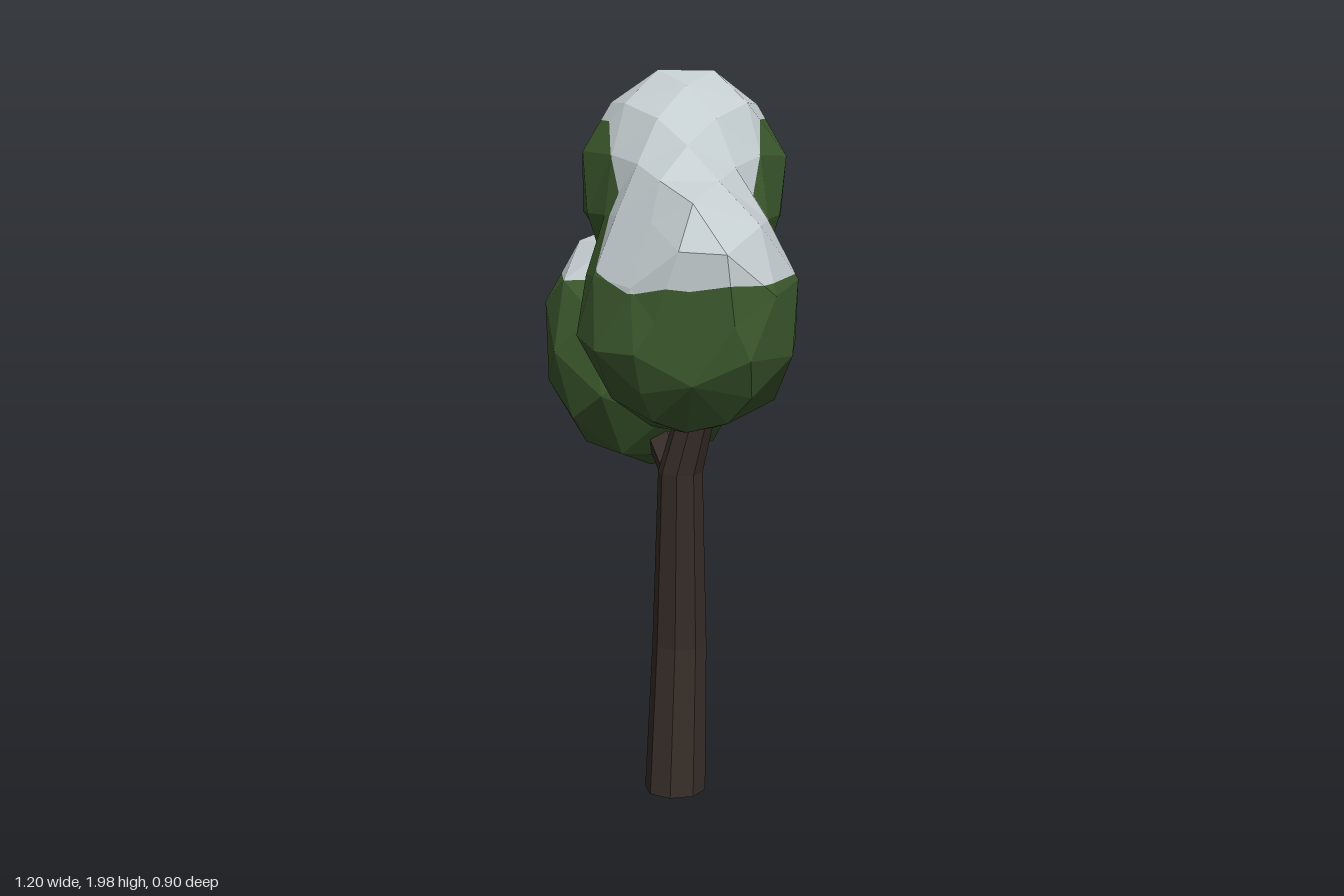
import * as THREE from 'three';

const mat = (color) => new THREE.MeshStandardMaterial({ color, flatShading: true, roughness: 1 });
const bark = mat(0x3a302b);
const leaf = mat(0x3d5a2e);
const snow = mat(0xc4cdd0);
const V = (x, y, z) => new THREE.Vector3(x, y, z);

// Moves every vertex of a geometry by a rule (vertex, index)
function deform(geo, rule) {
  const pos = geo.attributes.position;
  const v = V();
  for (let i = 0; i < pos.count; i++) {
    v.fromBufferAttribute(pos, i);
    rule(v, i);
    pos.setXYZ(i, v.x, v.y, v.z);
  }
  return geo;
}

// Slight hand-made unevenness, the same for coincident vertices
function roughen(v) {
  const { x, y, z } = v;
  v.x += 0.006 * Math.sin(17 * y + 11 * z);
  v.y += 0.006 * Math.sin(15 * x + 13 * z + 1);
  v.z += 0.006 * Math.sin(14 * x + 12 * y + 2);
}

// Adds the piece of a triangle where sign * level is positive
function clipTriangle(corners, levels, sign, out) {
  const poly = [];
  for (let i = 0; i < 3; i++) {
    const j = (i + 1) % 3;
    if (levels[i] * sign >= 0) poly.push(corners[i]);
    if (levels[i] * levels[j] < 0) {
      poly.push(corners[i].clone().lerp(corners[j], levels[i] / (levels[i] - levels[j])));
    }
  }
  for (let i = 2; i < poly.length; i++) {
    for (const p of [poly[0], poly[i - 1], poly[i]]) out.push(p.x, p.y, p.z);
  }
}

// Cuts a clump along the snow line: snow where snowLevel(point) is positive
function clump(name, geo, snowLevel) {
  const pos = (geo.index ? geo.toNonIndexed() : geo).attributes.position;
  const group = new THREE.Group();
  group.name = name;
  for (const [part, material, sign] of [['Leaves', leaf, -1], ['Snow', snow, 1]]) {
    const list = [];
    const tri = new THREE.Triangle();
    for (let i = 0; i < pos.count; i += 3) {
      tri.setFromAttributeAndIndices(pos, i, i + 1, i + 2);
      if (tri.getArea() < 1e-6) continue;
      const corners = [tri.a, tri.b, tri.c];
      clipTriangle(corners, corners.map(snowLevel), sign, list);
    }
    const g = new THREE.BufferGeometry();
    g.setAttribute('position', new THREE.Float32BufferAttribute(list, 3));
    g.computeVertexNormals();
    const mesh = new THREE.Mesh(g, material);
    mesh.name = name + part;
    group.add(mesh);
  }
  return group;
}

// Bent trunk: rings of [x, y, z, radius] from the ground up
function makeTrunk() {
  const rings = [
    [-0.155, 0, -0.12, 0.085],
    [-0.128, 0.43, -0.115, 0.075],
    [-0.055, 0.93, -0.065, 0.06],
    [0.052, 1.27, -0.09, 0.046],
    [0.058, 1.36, -0.1, 0.036],
    [0.046, 1.49, -0.11, 0.033],
  ];
  const n = rings.length - 1;
  const geo = deform(new THREE.CylinderGeometry(1, 1, 1, 8, n), (v) => {
    const [x, y, z, r] = rings[Math.round((v.y + 0.5) * n)];
    v.set(x + v.x * r, y, z + v.z * r);
  });
  geo.computeVertexNormals();
  const mesh = new THREE.Mesh(geo, bark);
  mesh.name = 'trunk';
  return mesh;
}

// Short straight limb between two points
function makeLimb(name, from, to, r0, r1, material) {
  const dir = to.clone().sub(from);
  const mesh = new THREE.Mesh(new THREE.CylinderGeometry(r1, r0, dir.length(), 6), material);
  mesh.position.copy(from).addScaledVector(dir, 0.5);
  mesh.quaternion.setFromUnitVectors(V(0, 1, 0), dir.normalize());
  mesh.name = name;
  return mesh;
}

// Egg-shaped side clump, leaning a little outwards at the top
function makeSideClump() {
  const geo = deform(new THREE.IcosahedronGeometry(1, 1), (v) => {
    v.set(-0.345 + 0.258 * v.x - 0.05 * v.y, 1.238 + 0.342 * v.y, -0.16 + 0.303 * v.z - 0.02 * v.y);
    roughen(v);
  });
  return clump('sideClump', geo, (p) => p.y - 1.45 + 0.12 * (p.z + 0.16));
}

// Two-lobed crown about a sloping axis, its waist arched upwards
function makeCrown() {
  const start = V(-0.05, 1.7, -0.07);
  const end = V(0.34, 1.41, 0.2);
  const axis = end.clone().sub(start).normalize();
  const profile = [
    [0, -0.27], [0.145, -0.225], [0.238, -0.11], [0.27, 0.03], [0.236, 0.16], [0.21, 0.28],
    [0.238, 0.41], [0.275, 0.54], [0.25, 0.69], [0.155, 0.79], [0, 0.825],
  ].map(([r, s]) => new THREE.Vector2(r, s));
  const sides = 10;
  const turn = new THREE.Quaternion().setFromUnitVectors(V(0, 1, 0), axis);
  const geo = deform(new THREE.LatheGeometry(profile, sides), (v, i) => {
    // Stagger each ring by half a side for even triangles
    const along = v.y;
    v.applyAxisAngle(V(0, 1, 0), ((i % profile.length) * Math.PI) / sides);
    v.applyQuaternion(turn);
    const rise = v.y - axis.y * along;
    const waist = Math.exp(-(((along - 0.23) / 0.14) ** 2));
    // Peak of the upper lobe leans away from the lower one
    const lean = 0.45 * Math.max(0, 1 - Math.max(along, 0) / 0.35) * (v.x + v.z);
    v.y += (0.16 - lean) * Math.max(rise, 0) + 0.32 * waist * Math.abs(rise);
    v.add(start);
    roughen(v);
    // Wedge-shaped front and bevelled corner of the lower lobe
    v.z = Math.min(v.z, 0.46 - 0.6 * Math.abs(v.y - 1.38));
    const over = Math.max(0, v.x + v.z - 0.83) / 2;
    v.x = Math.min(v.x - over, 0.6);
    v.z -= over;
  });
  // Snow lies lower on the outer lobe
  const spine = new THREE.Line3(start, end);
  const near = V();
  return clump('crown', geo, (p) => {
    const t = spine.closestPointToPointParameter(p, true);
    spine.at(t, near);
    const limit = 0.58 - 0.25 * THREE.MathUtils.smoothstep(t, 0.3, 0.8);
    return (p.y - near.y) / p.distanceTo(near) - limit;
  });
}

export function createModel() {
  const tree = new THREE.Group();
  tree.name = 'snowyTree';
  tree.add(
    makeTrunk(),
    makeLimb('lowerBranch', V(-0.05, 0.91, -0.07), V(-0.25, 1.05, -0.12), 0.055, 0.05, bark),
    makeLimb('upperBranch', V(0.05, 1.26, -0.09), V(0.22, 1.35, 0.06), 0.045, 0.04, bark),
    makeLimb('leafStem', V(0.048, 1.46, -0.108), V(0.04, 1.66, -0.1), 0.04, 0.075, leaf),
    makeSideClump(),
    makeCrown(),
  );
  return tree;
}
